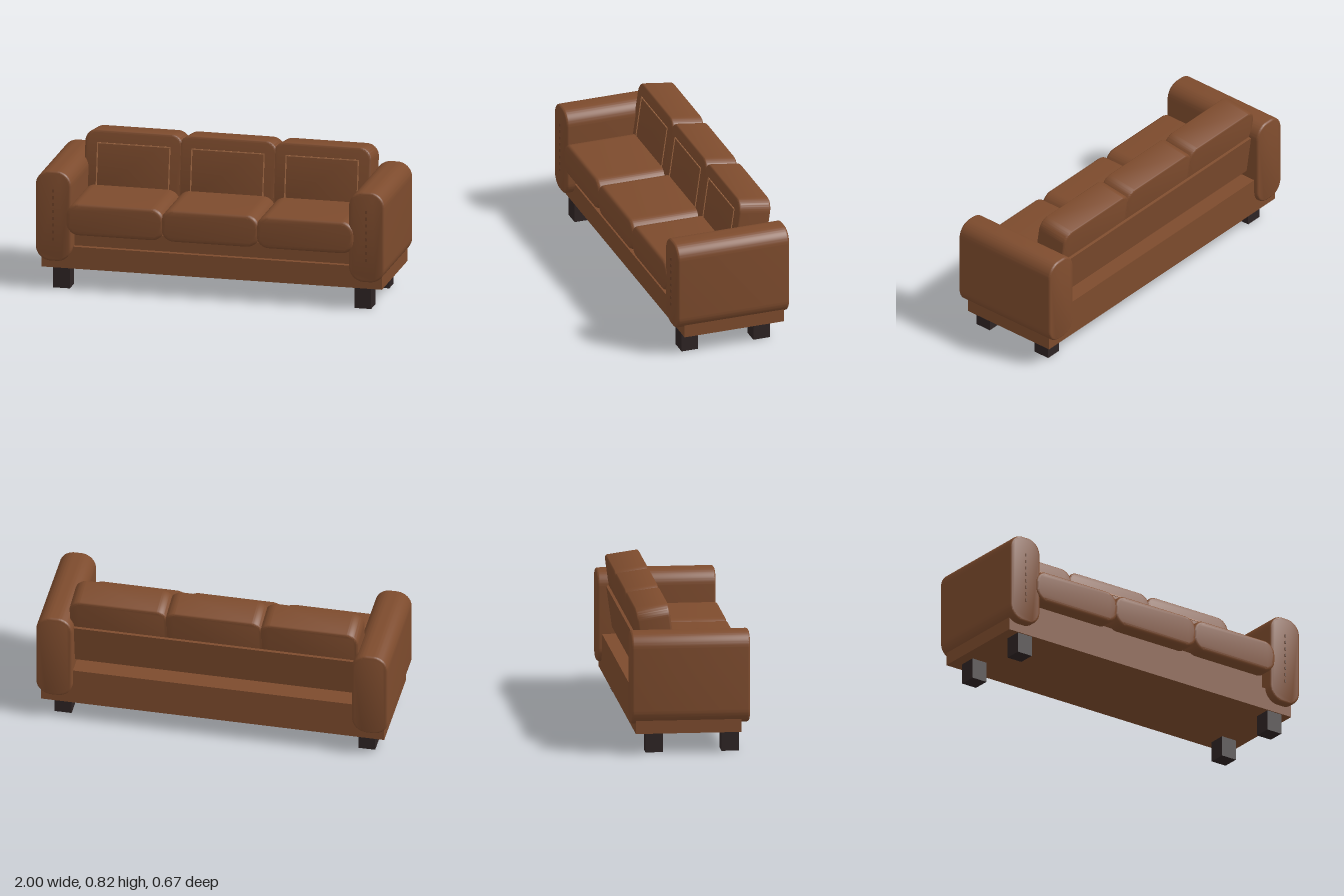
import * as THREE from 'three';
import { toCreasedNormals } from 'three/addons/utils/BufferGeometryUtils.js';

const leather = new THREE.MeshStandardMaterial({ color: 0x7d4b2d });
leather.name = 'brown leather';
const wood = new THREE.MeshStandardMaterial({ color: 0x2e2424 });
wood.name = 'dark wood';
const thread = new THREE.MeshStandardMaterial({ color: 0xa66c46 });
thread.name = 'tan thread';
const darkThread = new THREE.MeshStandardMaterial({ color: 0x5c3621 });
darkThread.name = 'dark thread';

// Rounded rectangle swept along z with softened front and back rims, centred on the origin
function padded(w, h, d, radius, bevel) {
  const x = w / 2 - bevel, y = h / 2 - bevel, r = radius - bevel;
  const s = new THREE.Shape();
  s.moveTo(-x + r, -y);
  s.lineTo(x - r, -y);
  s.absarc(x - r, -y + r, r, -Math.PI / 2, 0);
  s.lineTo(x, y - r);
  s.absarc(x - r, y - r, r, 0, Math.PI / 2);
  s.lineTo(-x + r, y);
  s.absarc(-x + r, y - r, r, Math.PI / 2, Math.PI);
  s.lineTo(-x, -y + r);
  s.absarc(-x + r, -y + r, r, Math.PI, Math.PI * 1.5);
  const g = new THREE.ExtrudeGeometry(s, {
    depth: d - 2 * bevel, bevelThickness: bevel, bevelSize: bevel, bevelSegments: 4, curveSegments: 10,
  });
  g.translate(0, 0, -d / 2 + bevel);
  return toCreasedNormals(g, 0.7);
}

function add(parent, name, geometry, material, x, y, z) {
  const m = new THREE.Mesh(geometry, material);
  m.name = name;
  m.position.set(x, y, z);
  parent.add(m);
  return m;
}

const box = (w, h, d) => new THREE.BoxGeometry(w, h, d);

export function createModel() {
  const sofa = new THREE.Group();
  sofa.name = 'sofa';
  const tilt = -0.14;

  // Plinth and the slightly recessed seat platform
  add(sofa, 'base', box(1.95, 0.127, 0.59), leather, 0, 0.1815, -0.015);
  add(sofa, 'seatPlatform', box(1.64, 0.09, 0.56), leather, 0, 0.29, -0.03);

  // Arms, front stitching and legs on both sides
  const armGeo = padded(0.205, 0.521, 0.663, 0.085, 0.014);
  for (const side of [-1, 1]) {
    add(sofa, side > 0 ? 'leftArm' : 'rightArm', armGeo, leather, side * 0.8975, 0.4275, -0.0035);
    for (let i = 0; i < 8; i++) {
      add(sofa, 'armStitch', box(0.005, 0.018, 0.008), darkThread, side * 0.897, 0.298 + i * 0.0397, 0.329);
    }
    for (const z of [0.225, -0.2]) {
      add(sofa, z > 0 ? 'frontLeg' : 'backLeg', box(0.096, 0.12, 0.098), wood, side * 0.863, 0.06, z);
    }
  }

  // Leaning back support panel
  const panel = add(sofa, 'backPanel', box(1.62, 0.235, 0.06), leather, 0, 0.495, -0.241);
  panel.rotation.x = tilt;

  // Three seat cushions and three back cushions
  const seatGeo = padded(0.565, 0.185, 0.49, 0.075, 0.02);
  const backGeo = padded(0.562, 0.43, 0.19, 0.07, 0.014);
  for (const i of [-1, 0, 1]) {
    add(sofa, 'seatCushion', seatGeo, leather, i * 0.545, 0.4175, 0.09);

    const back = new THREE.Group();
    back.name = 'backCushionGroup';
    back.position.set(i * 0.54, 0.593, -0.173);
    back.rotation.x = tilt;
    sofa.add(back);
    add(back, 'backCushion', backGeo, leather, 0, 0, 0);

    // Stitched frame on the cushion face
    for (const s of [-1, 1]) {
      add(back, 'verticalStitch', box(0.006, 0.286, 0.005), thread, s * 0.207, 0, 0.096);
      add(back, 'horizontalStitch', box(0.42, 0.006, 0.005), thread, 0, s * 0.14, 0.096);
    }
  }
  return sofa;
}
